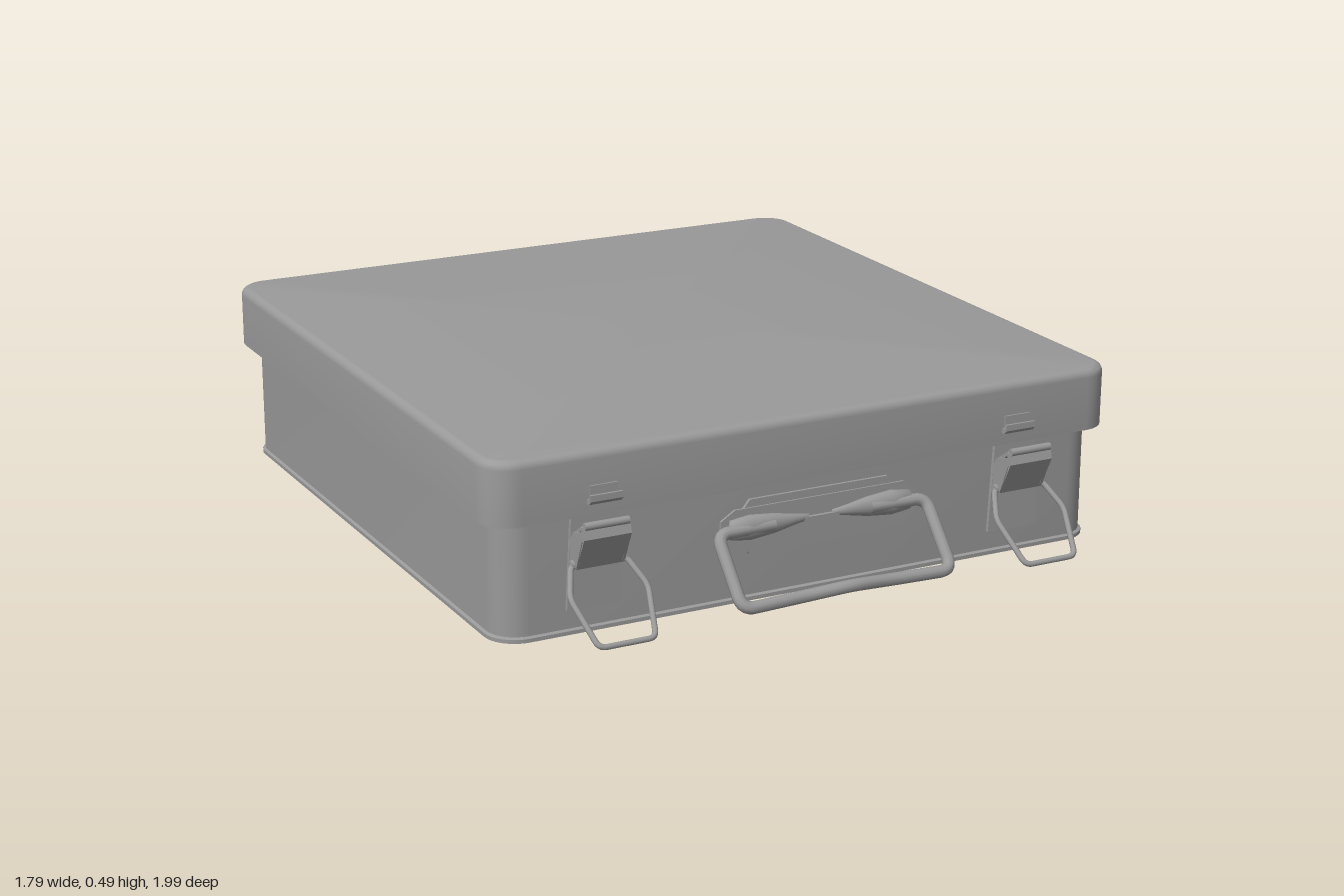
import * as THREE from 'three';
import { toCreasedNormals } from 'three/addons/utils/BufferGeometryUtils.js';

const metal = new THREE.MeshStandardMaterial({ color: 0x999999 });
metal.name = 'grey metal';

const V = (x, y, z) => new THREE.Vector3(x, y, z);

function part(name, geometry, parent, x = 0, y = 0, z = 0) {
  const mesh = new THREE.Mesh(geometry, metal);
  mesh.name = name;
  mesh.position.set(x, y, z);
  parent.add(mesh);
  return mesh;
}

// Rounded-rectangle rings [halfWidth, halfDepth, cornerRadius, y] joined in order
function loft(rings) {
  const steps = 8, count = 4 * (steps + 1), pos = [], index = [];
  const signs = [[1, 1], [-1, 1], [-1, -1], [1, -1]];
  for (const [w, d, r, y] of rings) {
    signs.forEach(([sx, sz], c) => {
      for (let i = 0; i <= steps; i++) {
        const a = (c + i / steps) * Math.PI / 2;
        pos.push(sx * (w - r) + r * Math.cos(a), y, sz * (d - r) + r * Math.sin(a));
      }
    });
  }
  for (let k = 0; k < rings.length - 1; k++) {
    for (let i = 0; i < count; i++) {
      const a = k * count + i, b = k * count + (i + 1) % count;
      index.push(a, a + count, b, b, a + count, b + count);
    }
  }
  const g = new THREE.BufferGeometry();
  g.setAttribute('position', new THREE.Float32BufferAttribute(pos, 3));
  g.setIndex(index);
  return toCreasedNormals(g, 0.6);
}

// Bent wire: straight runs with rounded corners
function wire(points, radius, bend, closed = false) {
  const path = new THREE.CurvePath(), n = points.length;
  const toward = (p, q) => p.clone().add(q.clone().sub(p).setLength(Math.min(bend, p.distanceTo(q) * 0.45)));
  const start = closed ? toward(points[0], points[1]) : points[0];
  let last = start;
  for (let i = 1; i < (closed ? n + 1 : n - 1); i++) {
    const p = points[i % n], a = toward(p, points[i - 1]), b = toward(p, points[(i + 1) % n]);
    path.add(new THREE.LineCurve3(last, a));
    path.add(new THREE.QuadraticBezierCurve3(a, p, b));
    last = b;
  }
  if (!closed) path.add(new THREE.LineCurve3(last, points[n - 1]));
  return new THREE.TubeGeometry(path, 140, radius, 10, closed);
}

// Flat plate outlined in x, y and facing +z
function plate(outline, depth) {
  const shape = new THREE.Shape(outline.map(([x, y]) => new THREE.Vector2(x, y)));
  return new THREE.ExtrudeGeometry(shape, { depth, bevelEnabled: false });
}

// Profile given in z, y and extruded across x, centred
function sideProfile(outline, width) {
  const g = plate(outline.map(([z, y]) => [-z, y]), width);
  g.translate(0, 0, -width / 2);
  g.rotateY(Math.PI / 2);
  g.rotateY(Math.PI);
  g.scale(1, 1, 1);
  // the turn maps the outline's -z axis back onto the model's z axis
  const p = g.attributes.position;
  g.computeBoundingBox();
  if (g.boundingBox.max.z < 0) g.rotateY(Math.PI);
  p.needsUpdate = true;
  return g;
}

function buildLatch(x) {
  const latch = new THREE.Group();
  latch.name = 'latch';
  latch.position.x = x;
  part('latchBackPlate', plate([[-0.075, 0.065], [0.075, 0.065], [0.062, 0.305], [-0.062, 0.305]], 0.01), latch, 0, 0, 0.798);
  // Channel-shaped lever: two cheeks, a sloping face and a curled lip
  const cheek = [[0.806, 0.2], [0.832, 0.18], [0.845, 0.19], [0.876, 0.265], [0.87, 0.285], [0.83, 0.275], [0.806, 0.25]];
  for (const s of [-1, 1]) part('latchCheek', sideProfile(cheek, 0.008), latch, s * 0.062);
  part('latchLever', sideProfile([[0.828, 0.18], [0.838, 0.18], [0.885, 0.27], [0.876, 0.3], [0.866, 0.3], [0.872, 0.27]], 0.128), latch);
  part('latchTopWeb', sideProfile([[0.806, 0.25], [0.866, 0.292], [0.872, 0.3], [0.864, 0.302], [0.806, 0.262]], 0.12), latch);
  const lip = part('latchLip', new THREE.CylinderGeometry(0.01, 0.01, 0.12, 12), latch, 0, 0.302, 0.876);
  lip.rotation.z = Math.PI / 2;
  const pin = part('latchPin', new THREE.CylinderGeometry(0.012, 0.012, 0.15, 14), latch, 0, 0.19, 0.826);
  pin.rotation.z = Math.PI / 2;
  // Hanging wire bail
  const bail = [[-0.074, 0.19], [-0.105, 0.13], [-0.076, 0.034], [0.076, 0.034], [0.105, 0.13], [0.074, 0.19]];
  part('latchBail', wire(bail.map(([u, y]) => V(u, y, 0.828 + (0.19 - y) * 1.03)), 0.0075, 0.02, true), latch);
  return latch;
}

function buildCatch(x) {
  const hook = new THREE.Group();
  hook.name = 'lidCatch';
  hook.position.x = x;
  part('catchPlate', new THREE.BoxGeometry(0.075, 0.045, 0.008), hook, 0, 0.365, 0.832);
  part('catchHook', sideProfile([[0.828, 0.342], [0.842, 0.342], [0.852, 0.352], [0.852, 0.368], [0.845, 0.368], [0.843, 0.356], [0.828, 0.354]], 0.088), hook);
  return hook;
}

function buildHandle() {
  const handle = new THREE.Group();
  handle.name = 'handle';
  handle.position.x = 0.02;
  // Mounting plates
  part('handleBackPlate', plate([[-0.2, 0.125], [0.2, 0.125], [0.22, 0.15], [0.22, 0.245], [0.2, 0.27], [-0.2, 0.27], [-0.22, 0.245], [-0.22, 0.15]], 0.008), handle, 0, 0, 0.798);
  part('handleFrontPlate', plate([[-0.245, 0.135], [0.245, 0.135], [0.285, 0.165], [0.285, 0.225], [0.245, 0.25], [-0.245, 0.25], [-0.285, 0.225], [-0.285, 0.165]], 0.006), handle, 0, 0, 0.805);
  // Pressed sockets that hold the ends of the grip
  const socket = [[0, -0.11], [0.026, -0.105], [0.033, -0.05], [0.026, 0.02], [0.014, 0.08], [0.008, 0.12], [0, 0.121]];
  for (const s of [-1, 1]) {
    const m = part('handleSocket', new THREE.LatheGeometry(socket.map(([r, y]) => new THREE.Vector2(r, y)), 20), handle, s * 0.155, 0.2, 0.813);
    m.rotation.z = s * Math.PI / 2;
    m.scale.z = 0.75;
  }
  part('handleBridge', new THREE.BoxGeometry(0.1, 0.01, 0.014), handle, 0, 0.197, 0.814);
  // Grip: one bent rod with a slight kink in the middle
  part('handleGrip', wire([
    V(-0.14, 0.2, 0.822), V(-0.303, 0.2, 0.826), V(-0.303, 0.048, 0.96), V(-0.12, 0.052, 0.957), V(0, 0.064, 0.974),
    V(0.12, 0.052, 0.957), V(0.303, 0.048, 0.96), V(0.303, 0.2, 0.826), V(0.14, 0.2, 0.822),
  ], 0.0165, 0.035), handle);
  return handle;
}

function buildHinge() {
  const hinge = new THREE.Group();
  hinge.name = 'hinge';
  part('hingeLidLeaf', new THREE.BoxGeometry(0.72, 0.12, 0.012), hinge, 0, 0.355, -0.992);
  part('hingeBaseLeaf', new THREE.BoxGeometry(0.72, 0.1, 0.01), hinge, 0, 0.28, -0.934);
  const pin = part('hingePin', new THREE.CylinderGeometry(0.02, 0.02, 0.72, 16), hinge, 0, 0.288, -0.956);
  pin.rotation.z = Math.PI / 2;
  // Alternating knuckles, with tabs joining every other one to the lid leaf
  const n = 19, step = 0.72 / n;
  for (let i = 0; i < n; i++) {
    const x = -0.36 + (i + 0.5) * step;
    const k = part('hingeKnuckle', new THREE.CylinderGeometry(0.026, 0.026, step * 0.9, 16), hinge, x, 0.288, -0.956);
    k.rotation.z = Math.PI / 2;
    if (i % 2 === 0) part('hingeTab', new THREE.BoxGeometry(step * 0.9, 0.03, 0.03), hinge, x, 0.288, -0.975);
  }
  return hinge;
}

export function createModel() {
  const model = new THREE.Group();
  model.name = 'metalCase';

  // Open tray with a thin foot rim
  part('base', loft([
    [0.002, 0.002, 0.001, 0], [0.87, 0.87, 0.085, 0], [0.87, 0.87, 0.085, 0.01], [0.863, 0.863, 0.08, 0.014],
    [0.863, 0.863, 0.08, 0.36], [0.852, 0.852, 0.07, 0.36], [0.852, 0.852, 0.07, 0.016], [0.002, 0.002, 0.001, 0.016],
  ]), model, 0, 0, -0.065);

  // Hollow lid with a softly rounded top edge, tipped very slightly forward
  const w = 0.897, d = 0.907, top = 0.481, f = 0.022;
  const rim = [];
  for (let i = 0; i <= 5; i++) {
    const a = i / 5 * Math.PI / 2, inset = f * (1 - Math.cos(a));
    rim.push([w - inset, d - inset, 0.085 - inset, top - f + f * Math.sin(a)]);
  }
  const lid = part('lid', loft([
    [0.002, 0.002, 0.001, top - 0.012], [w - 0.012, d - 0.012, 0.073, top - 0.012], [w - 0.012, d - 0.012, 0.073, 0.315],
    [w, d, 0.085, 0.315], ...rim, [0.002, 0.002, 0.001, top],
  ]), model, 0, 0, -0.078);
  lid.rotation.x = 0.0055;

  for (const x of [-0.612, 0.606]) model.add(buildLatch(x));
  for (const x of [-0.598, 0.592]) model.add(buildCatch(x));
  model.add(buildHandle(), buildHinge());
  return model;
}
